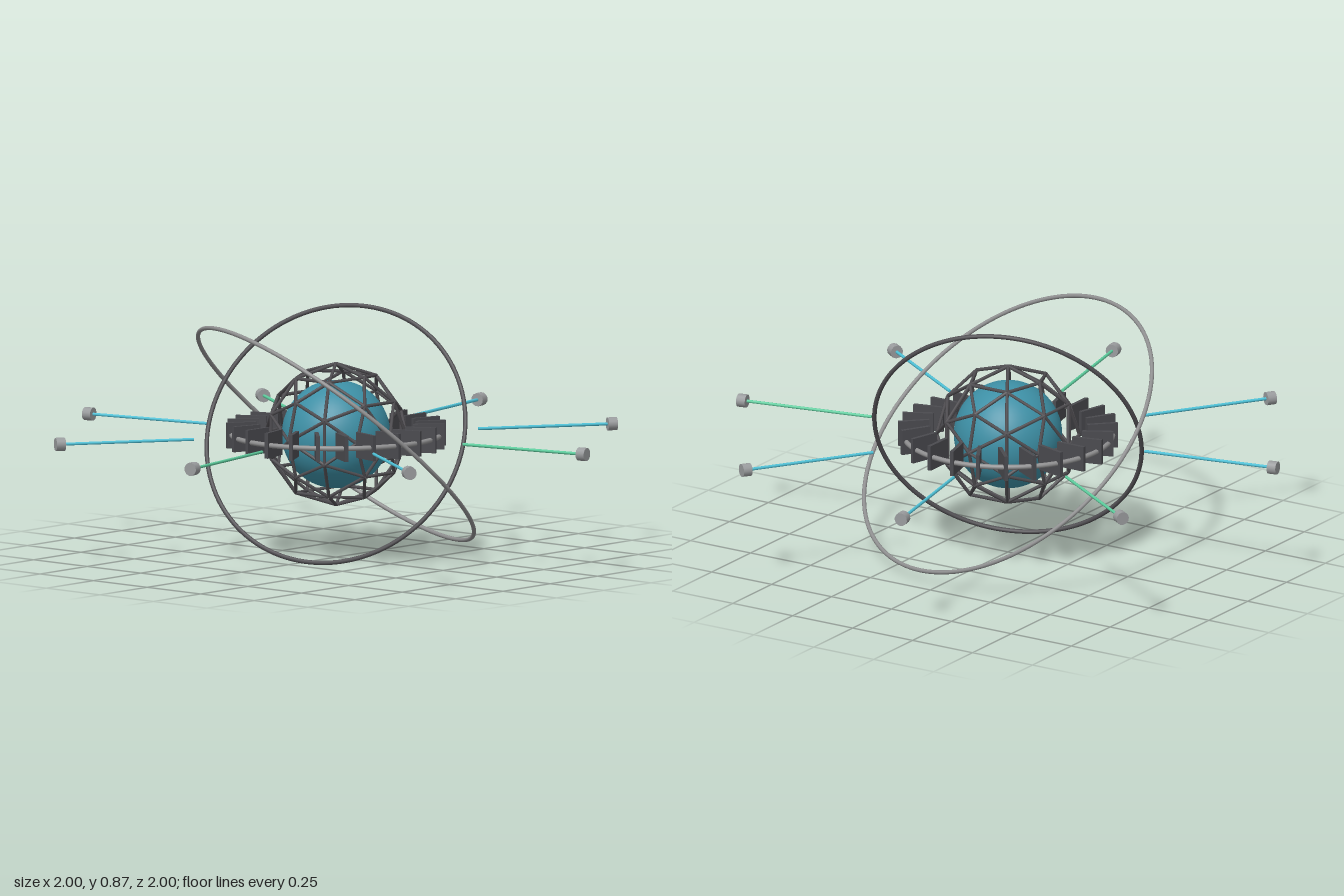
import * as THREE from 'three';

const CENTER_Y = 0.436;

function material(name, color) {
  const m = new THREE.MeshStandardMaterial({ color });
  m.name = name;
  return m;
}

function addMesh(parent, name, geometry, mat) {
  const mesh = new THREE.Mesh(geometry, mat);
  mesh.name = name;
  parent.add(mesh);
  return mesh;
}

// Cylinder running between two points
function addRod(parent, name, a, b, radius, sides, mat) {
  const rod = addMesh(parent, name, new THREE.CylinderGeometry(radius, radius, a.distanceTo(b), sides), mat);
  rod.position.copy(a).add(b).multiplyScalar(0.5);
  rod.quaternion.setFromUnitVectors(new THREE.Vector3(0, 1, 0), b.clone().sub(a).normalize());
}

// Torus whose axis points along the given normal
function addRing(parent, name, radius, tube, normal, mat) {
  const ring = addMesh(parent, name, new THREE.TorusGeometry(radius, tube, 10, 120), mat);
  ring.quaternion.setFromUnitVectors(new THREE.Vector3(0, 0, 1), normal.normalize());
}

// Geodesic lattice: one strut for each unique edge
function buildCage(radius, mat) {
  const cage = new THREE.Group();
  cage.name = 'cage';
  const pos = new THREE.IcosahedronGeometry(radius, 1).getAttribute('position');
  const key = (v) => v.toArray().map((n) => Math.round(n * 1000) + 0).join(',');
  const seen = new Set();
  for (let i = 0; i < pos.count; i += 3) {
    for (let j = 0; j < 3; j++) {
      const a = new THREE.Vector3().fromBufferAttribute(pos, i + j);
      const b = new THREE.Vector3().fromBufferAttribute(pos, i + ((j + 1) % 3));
      const id = [key(a), key(b)].sort().join('|');
      if (seen.has(id)) continue;
      seen.add(id);
      addRod(cage, 'cageStrut', a, b, 0.006, 6, mat);
    }
  }
  return cage;
}

export function createModel() {
  const teal = material('core teal', 0x3d8fa5);
  const cyan = material('beam cyan', 0x4fc3d9);
  const green = material('beam green', 0x5fd0a0);
  const dark = material('dark metal', 0x504e52);
  const charcoal = material('fin charcoal', 0x4a4a4f);
  const gray = material('ring gray', 0x8f8f90);
  const light = material('cap gray', 0x9a9c9e);

  const model = new THREE.Group();
  model.name = 'caged energy core';
  const body = new THREE.Group();
  body.name = 'body';
  body.position.y = CENTER_Y;
  model.add(body);

  // Core and its lattice
  addMesh(body, 'core', new THREE.SphereGeometry(0.19, 48, 32), teal);
  body.add(buildCage(0.25, dark));

  // Equatorial collar with upright fins, each turned slightly off the radius
  addRing(body, 'collarRing', 0.367, 0.009, new THREE.Vector3(0, 1, 0), gray);
  const fins = new THREE.Group();
  fins.name = 'fins';
  body.add(fins);
  for (let i = 0; i < 24; i++) {
    const a = (i / 24) * Math.PI * 2;
    const fin = addMesh(fins, 'fin', new THREE.BoxGeometry(0.11, 0.09, 0.013), charcoal);
    fin.position.set(Math.cos(a) * 0.331, 0, Math.sin(a) * 0.331);
    fin.rotation.y = 0.25 - a;
  }

  // Two tilted orbit rings
  addRing(body, 'innerOrbitRing', 0.475, 0.008, new THREE.Vector3(0.336, 0.436, 0.836), dark);
  addRing(body, 'outerOrbitRing', 0.598, 0.0075, new THREE.Vector3(0.24, 0.748, -0.618), gray);

  // Eight radiating beams with end caps
  for (let i = 0; i < 8; i++) {
    const a = THREE.MathUtils.degToRad(-11.25 - 45 * i);
    const dir = new THREE.Vector3(Math.cos(a), 0, Math.sin(a));
    const at = (r) => dir.clone().multiplyScalar(r);
    addRod(body, 'beam', at(0.515), at(0.99), 0.0055, 8, i % 3 === 0 ? green : cyan);
    addRod(body, 'beamCap', at(0.983), at(1.016), 0.0235, 12, light);
  }
  return model;
}
